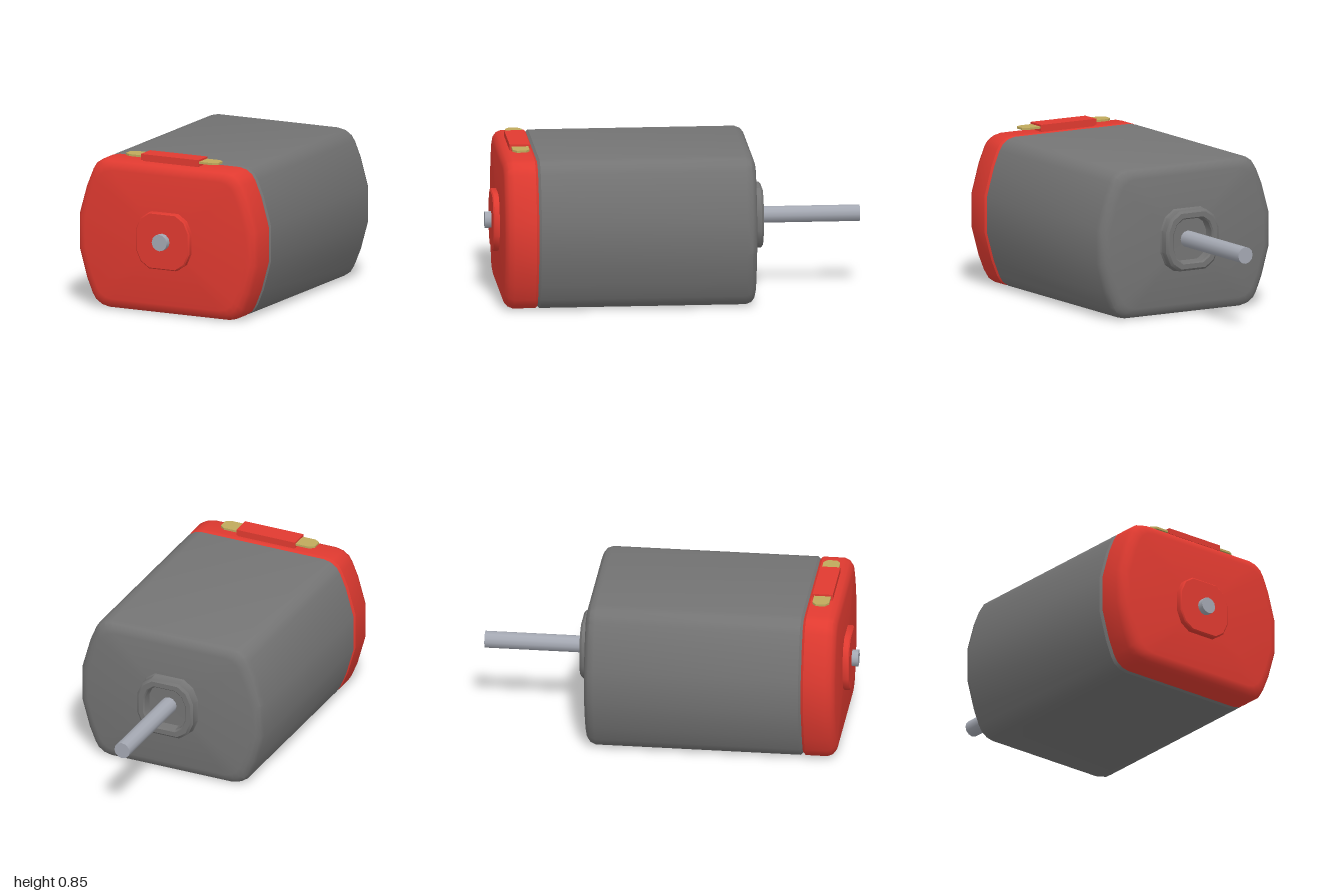
import * as THREE from 'three';
import { toCreasedNormals } from 'three/addons/utils/BufferGeometryUtils.js';

const CY = 0.405; // height of the motor axis
const mat = (color) => new THREE.MeshStandardMaterial({ color });

// Mirrors one quadrant (listed from the side towards the top) into a closed outline
function mirrored(q) {
  const r = [...q].reverse();
  return [...q, ...r.map(([x, y]) => [-x, y]), ...q.map(([x, y]) => [-x, -y]), ...r.map(([x, y]) => [x, -y])];
}

// Skins an outline through rings of [inset, z]; an inset of 'axis' closes the end
function loft(outline, rings, crease = 0.6) {
  const mx = Math.max(...outline.map((p) => p[0]));
  const my = Math.max(...outline.map((p) => p[1]));
  const pts = rings.map(([d, z]) => outline.map(([x, y]) => (d === 'axis'
    ? [0, 0, z] : [x * (1 - d / mx), y * (1 - d / my), z])));
  const pos = [];
  const n = outline.length;
  for (let i = 0; i < rings.length - 1; i++) {
    for (let j = 0; j < n; j++) {
      const k = (j + 1) % n;
      const a = pts[i][j], b = pts[i][k], c = pts[i + 1][k], d = pts[i + 1][j];
      if (rings[i][0] !== 'axis') pos.push(...a, ...b, ...c);
      if (rings[i + 1][0] !== 'axis') pos.push(...a, ...c, ...d);
      if (rings[i][0] !== 'axis' && rings[i + 1][0] === 'axis') continue;
    }
  }
  const g = new THREE.BufferGeometry();
  g.setAttribute('position', new THREE.Float32BufferAttribute(pos, 3));
  return toCreasedNormals(g, crease);
}

export function createModel() {
  const model = new THREE.Group();
  const red = mat(0xe03a30), steel = mat(0xa4a8b2), can = mat(0x747474), brass = mat(0xbfa95c);
  const add = (name, geo, material, x = 0, y = 0, z = 0) => {
    const m = new THREE.Mesh(geo, material);
    m.name = name;
    m.position.set(x, y, z);
    model.add(m);
    return m;
  };

  const shell = mirrored([[0.535, 0.095], [0.49, 0.255], [0.455, 0.34], [0.435, 0.372], [0.4, 0.396], [0.36, 0.405]]);
  const bossShape = mirrored([[0.16, 0.055], [0.132, 0.118], [0.08, 0.153]]);
  const rearShape = bossShape.map(([x, y]) => [x * 1.02, y * 1.06]);

  // Metal can, rounded at the rear
  add('motorCan', loft(shell, [
    ['axis', -0.415], [0.055, -0.415], [0.03, -0.407], [0.01, -0.39], [0, -0.36],
    [0, 0.738], [0.012, 0.752], ['axis', 0.752],
  ]), can, 0, CY);

  // Plastic end cap, rounded at the front
  add('endCap', loft(shell, [
    ['axis', 0.75], [0.012, 0.75], [0, 0.764], [0, 0.88],
    [0.01, 0.908], [0.03, 0.926], [0.055, 0.932], ['axis', 0.932],
  ]), red, 0, CY);

  // Bearing bosses: solid at the front, a hollow cup at the rear
  add('frontBoss', loft(bossShape, [
    ['axis', 0.925], [0, 0.925], [0, 0.96], [0.006, 0.966], ['axis', 0.966],
  ]), red, 0, CY);
  add('rearBoss', loft(rearShape, [
    ['axis', -0.42], [0.05, -0.422], [0.045, -0.47], [0.038, -0.478], [0.012, -0.478],
    [0, -0.466], [0, -0.425], [-0.008, -0.41],
  ]), can, 0, CY);

  // Shaft through the whole motor
  const shaftGeo = new THREE.CylinderGeometry(0.045, 0.045, 1, 12);
  shaftGeo.rotateX(Math.PI / 2);
  const rear = add('outputShaft', shaftGeo, steel, 0, CY, -0.7);
  rear.scale.z = 0.6;
  const front = add('shaftStub', shaftGeo, steel, 0, CY, 0.96);
  front.scale.z = 0.08;

  // Terminal block on top of the cap
  add('terminalBase', new THREE.BoxGeometry(0.33, 0.03, 0.09), red, 0, 0.808, 0.825);
  add('terminalBlock', new THREE.BoxGeometry(0.345, 0.032, 0.108), red, 0, 0.834, 0.827);

  // Brass tabs with clipped corners
  const tab = new THREE.Shape();
  [[0.15, -0.045], [0.25, -0.045], [0.277, -0.025], [0.277, 0.025], [0.25, 0.045], [0.15, 0.045]]
    .forEach(([x, y], i) => (i ? tab.lineTo(x, y) : tab.moveTo(x, y)));
  const tabGeo = new THREE.ExtrudeGeometry(tab, { depth: 0.011, bevelEnabled: false });
  tabGeo.rotateX(-Math.PI / 2);
  add('leftTerminal', tabGeo, brass, 0, 0.829, 0.826);
  const right = add('rightTerminal', tabGeo, brass, 0, 0.84, 0.826);
  right.rotation.z = Math.PI;

  return model;
}
